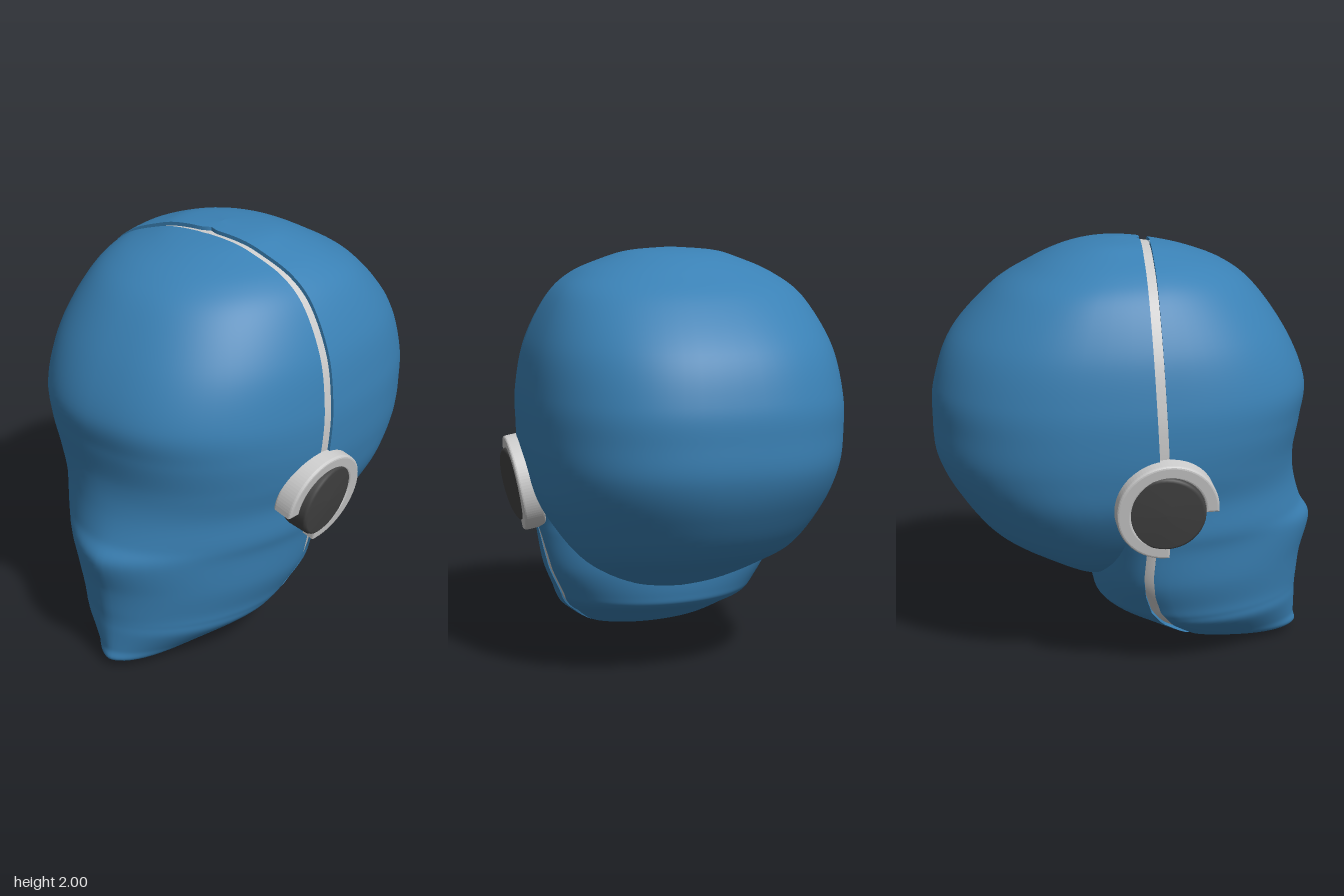
import * as THREE from 'three';

// Horizontal slices: y, half width, z of widest point, front z, back z, front exponent, back exponent
const dome = [
  [2.0, 0, -0.03, -0.02, -0.04, 2, 2],
  [1.985, 0.2, -0.05, 0.12, -0.2, 2, 2],
  [1.95, 0.32, -0.05, 0.3, -0.33, 2, 2],
  [1.88, 0.48, -0.05, 0.48, -0.47, 2.1, 2.1],
  [1.77, 0.6, -0.1, 0.62, -0.64, 2.2, 2.2],
  [1.56, 0.7, -0.12, 0.77, -0.83, 2.3, 2.3],
  [1.34, 0.74, -0.12, 0.86, -0.91, 2.3, 2.4],
  [1.17, 0.745, -0.12, 0.845, -0.92, 2.3, 2.4],
  [1.0, 0.73, -0.12, 0.82, -0.905, 2.2, 2.4],
];
const jaw = [
  [0.86, 0.68, 0, 0.83, -0.15, 2, 2],
  [0.72, 0.655, 0.1, 0.87, -0.17, 1.8, 2],
  [0.62, 0.63, 0.12, 0.92, -0.18, 1.65, 2],
  [0.45, 0.59, 0.15, 0.88, -0.18, 1.7, 2],
  [0.32, 0.53, 0.2, 0.865, -0.16, 1.7, 2],
  [0.26, 0.5, 0.24, 0.86, -0.13, 1.7, 2],
  [0.2, 0.45, 0.3, 0.86, -0.01, 1.7, 2],
  [0.1, 0.31, 0.38, 0.86, 0.2, 1.7, 2],
  [0.04, 0.17, 0.6, 0.86, 0.43, 1.7, 2],
  [0.0, 0, 0.72, 0.73, 0.71, 2, 2],
];
const skullBase = [
  [0.82, 0.685, -0.15, 0.6, -0.82, 2, 2.2],
  [0.62, 0.56, -0.18, 0.4, -0.66, 2, 2.1],
  [0.5, 0.43, -0.18, 0.2, -0.43, 2, 2],
  [0.4, 0.22, -0.15, 0.05, -0.23, 2, 2],
  [0.37, 0, -0.15, -0.14, -0.16, 2, 2],
];
// Seam between the two shells: y, z
const seam = [[2, 0.095], [1.6, 0.12], [1.1, 0.15], [0.65, 0.1], [0.5, 0.09], [0.4, 0.1],
  [0.3, 0.13], [0.2, 0.2], [0.1, 0.32], [0.0, 0.48]];

function seamZ(y) {
  let i = 0;
  while (i < seam.length - 2 && seam[i + 1][0] > y) i++;
  const [y0, z0] = seam[i], [y1, z1] = seam[i + 1];
  return THREE.MathUtils.lerp(z0, z1, (y - y0) / (y1 - y0));
}

// Catmull-Rom subdivision of a slice table
function refine(table, steps = 8) {
  const out = [], at = i => table[Math.min(Math.max(i, 0), table.length - 1)];
  for (let i = 0; i < table.length - 1; i++) {
    for (let s = 0; s < steps; s++) {
      const t = s / steps;
      out.push(at(i).map((b, k) => {
        const a = at(i - 1)[k], c = at(i + 1)[k], d = at(i + 2)[k];
        return b + 0.5 * t * (c - a + t * (2 * a - 5 * b + 4 * c - d + t * (3 * (b - c) + d - a)));
      }));
    }
  }
  out.push(at(table.length - 1));
  return out;
}

// Point on a slice: phi runs from -90 degrees (back) to 90 degrees (front)
function slicePoint([y, w, zw, zf, zb, nf, nb], phi, side) {
  const n = phi > 0 ? nf : nb, d = phi > 0 ? zf - zw : zw - zb;
  const x = Math.max(w, 0) * Math.pow(Math.max(Math.cos(phi), 0), 2 / n);
  const z = zw + Math.sign(phi) * d * Math.pow(Math.abs(Math.sin(phi)), 2 / n);
  return new THREE.Vector3(side * x, y, z);
}

// Angle at which a slice crosses the given z
function cutAngle([, , zw, zf, zb, nf, nb], z) {
  const front = z > zw, d = Math.max(front ? zf - zw : zw - zb, 0.001);
  const s = Math.pow(Math.min(Math.abs(z - zw) / d, 1), (front ? nf : nb) / 2);
  return Math.asin(s) * (front ? 1 : -1);
}

function loft(rows) {
  const cols = rows[0].length, index = [];
  for (let r = 0; r < rows.length - 1; r++) {
    for (let c = 0; c < cols - 1; c++) {
      const a = r * cols + c, b = a + 1, d = a + cols, e = d + 1;
      index.push(a, b, e, a, e, d);
    }
  }
  const geo = new THREE.BufferGeometry().setFromPoints(rows.flat());
  geo.setIndex(index);
  geo.computeVertexNormals();
  return geo;
}

const core = new THREE.Vector3(0, 0.95, 0.1);
const inset = (p, k) => p.clone().sub(core).multiplyScalar(k).add(core);

// Half shell in front of (dir 1) or behind (dir -1) the seam, with an inward lip at its edge
function shell(table, dir, widthScale = 1) {
  const N = 18, rows = [];
  for (const slice of refine(table)) {
    const cut = seamZ(slice[0]) + dir * 0.022;
    if (dir > 0 ? slice[3] < cut : slice[4] > cut) continue;
    const start = cutAngle(slice, cut), row = [];
    for (let i = 0; i <= 2 * N; i++) {
      const t = i <= N ? i / N : 2 - i / N;
      const p = slicePoint(slice, THREE.MathUtils.lerp(start, dir * Math.PI / 2, t), i <= N ? dir : -dir);
      p.x *= widthScale;
      row.push(p);
    }
    const first = row[0], last = row[2 * N];
    row.unshift(inset(first, 0.96), first.clone());
    row.push(last.clone(), inset(last, 0.96));
    rows.push(row);
  }
  return loft(rows);
}

// Recessed strip that fills the seam on one side
function strip(table, side) {
  const rows = [];
  for (const slice of refine(table)) {
    const z = seamZ(slice[0]);
    if (slice[3] < z - 0.05 || slice[4] > z + 0.05) continue;
    const a = cutAngle(slice, z - side * 0.05), b = cutAngle(slice, z + side * 0.05), row = [];
    for (let i = 0; i <= 6; i++) {
      row.push(inset(slicePoint(slice, THREE.MathUtils.lerp(a, b, i / 6), -side), 0.983));
    }
    rows.push(row);
  }
  return loft(rows);
}

export function createModel() {
  const model = new THREE.Group();
  model.name = 'helmetHead';
  const blue = new THREE.MeshStandardMaterial({ color: 0x3a81b5, side: THREE.DoubleSide });
  const grey = new THREE.MeshStandardMaterial({ color: 0xcccccc, side: THREE.DoubleSide });
  const dark = new THREE.MeshStandardMaterial({ color: 0x444444 });
  const add = (parent, name, geo, mat) => {
    const mesh = new THREE.Mesh(geo, mat);
    mesh.name = name;
    parent.add(mesh);
    return mesh;
  };

  // Shells and seam
  const whole = [...dome, ...jaw];
  add(model, 'faceShell', shell(whole, 1, 0.985), blue);
  add(model, 'skullShell', shell([...dome, ...skullBase], -1), blue);
  add(model, 'jawShell', shell(jaw, -1), blue);
  add(model, 'seamStripLeft', strip(whole, -1), grey);
  add(model, 'seamStripRight', strip(whole, 1), grey);

  // Ear pieces: a dark disc inside a three-quarter ring, open at the lower front
  const arc = new THREE.Shape();
  arc.absarc(0, 0, 0.222, -Math.PI / 2, Math.PI, false);
  arc.absarc(0, 0, 0.18, Math.PI, -Math.PI / 2, true);
  const ringGeo = new THREE.ExtrudeGeometry(arc, {
    depth: 0.08, bevelThickness: 0.012, bevelSize: 0.012, bevelSegments: 3, curveSegments: 36,
  });
  const discGeo = new THREE.LatheGeometry([[0, -0.1], [0.178, -0.1], [0.178, -0.1], [0.18, 0.035], [0.176, 0.046],
    [0.165, 0.052], [0, 0.056]].map(([r, h]) => new THREE.Vector2(r, h)), 40);
  discGeo.rotateX(Math.PI / 2);
  for (const side of [1, -1]) {
    const mirror = new THREE.Group();
    mirror.name = side > 0 ? 'leftEar' : 'rightEar';
    mirror.scale.x = side;
    const ear = new THREE.Group();
    ear.name = 'earPiece';
    ear.position.set(0.7, 0.875, 0.155);
    ear.rotation.set(0, Math.PI / 2, -0.19, 'ZYX');
    add(ear, 'earDisc', discGeo, dark);
    const ring = add(ear, 'earRing', ringGeo, grey);
    ring.position.z = -0.055;
    ring.rotation.y = -0.13;
    mirror.add(ear);
    model.add(mirror);
  }
  return model;
}
